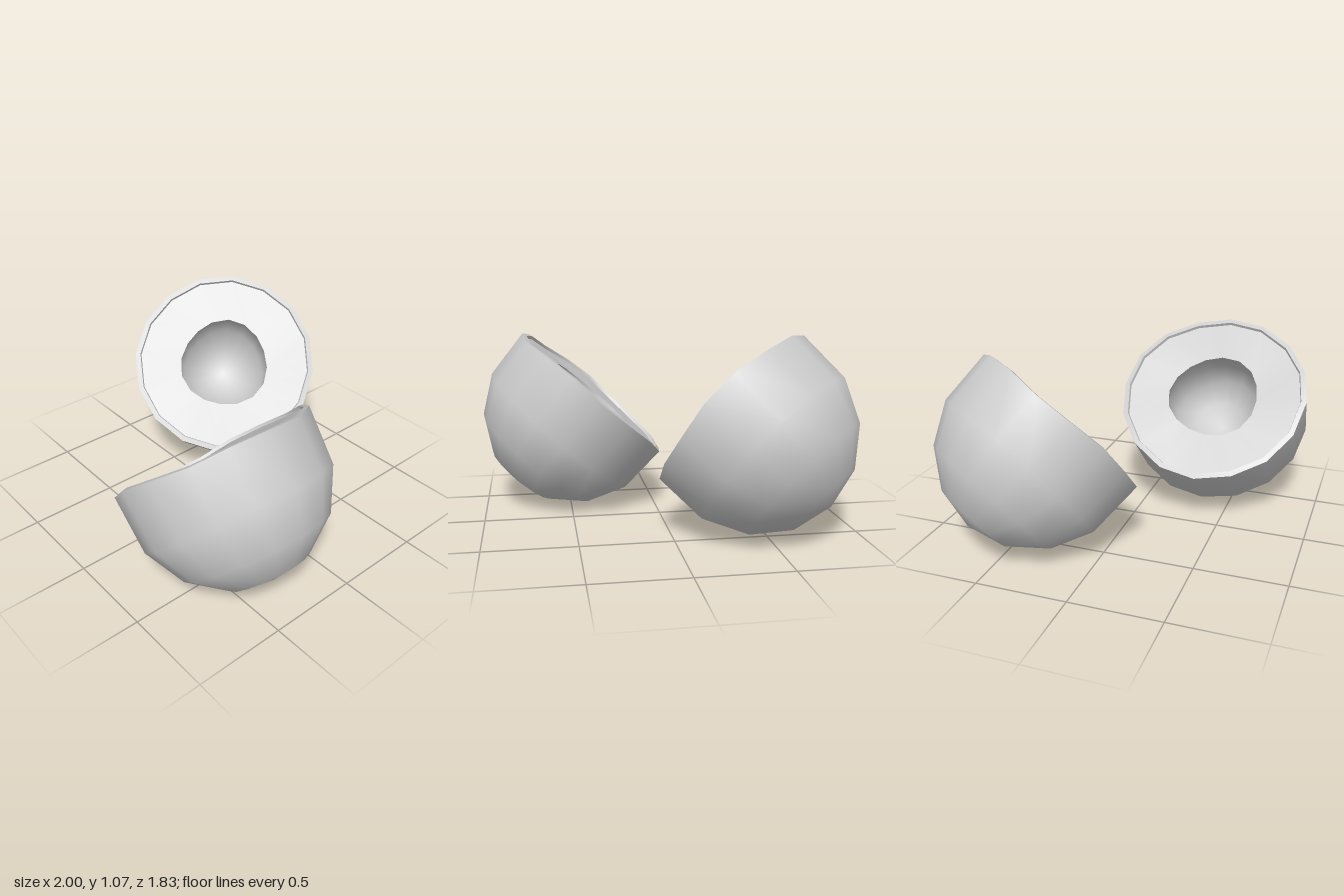
import * as THREE from 'three';
import { mergeVertices } from 'three/addons/utils/BufferGeometryUtils.js';

const SIDES = 16;

// Lathe a profile of [radius, height] points, then roughen it by a rule
function turned(name, profile, sides, wobble) {
  let geo = new THREE.LatheGeometry(profile.map(([r, y]) => new THREE.Vector2(r, y)), sides);
  geo.deleteAttribute('uv');
  geo.deleteAttribute('normal');
  const pos = geo.attributes.position;
  const v = new THREE.Vector3();
  for (let i = 0; i < pos.count; i++) {
    v.fromBufferAttribute(pos, i);
    wobble(v, Math.atan2(v.z, v.x));
    pos.setXYZ(i, v.x, v.y, v.z);
  }
  geo = mergeVertices(geo, 1e-4);
  geo.computeVertexNormals();
  const mat = new THREE.MeshStandardMaterial({ color: 0xcccccc, side: THREE.DoubleSide });
  const mesh = new THREE.Mesh(geo, mat);
  mesh.name = name;
  return mesh;
}

// One hollow half nut, opening towards +y, with its round body centred on the origin
function halfNut(name, phase) {
  const half = new THREE.Group();
  half.name = name;

  // Uneven broken edge: the cut rises and falls around the rim
  const edge = (v, a) => {
    if (v.y > 0.1 && Math.hypot(v.x, v.z) > 0.4) {
      v.y += 0.012 - 0.014 * Math.cos(2 * a) + 0.008 * Math.sin(5 * a + phase);
    }
  };
  // Slightly irregular hollow
  const hollow = (v, a) => {
    const s = 1 + 0.035 * Math.sin(3 * a + phase);
    if (Math.hypot(v.x, v.z) < 0.4) { v.x *= s; v.z *= s; }
    edge(v, a);
  };

  // Outer shell, from the pole up to the cut
  const outer = [[0, 0.555], [24, 0.553], [49, 0.548], [75, 0.548], [106, 0.568]].map(([deg, r]) => {
    const t = THREE.MathUtils.degToRad(deg);
    return [r * Math.sin(t), -r * Math.cos(t)];
  });
  half.add(turned('shell', outer, SIDES, edge));

  // Thin shell lip with a small step down to the flesh
  half.add(turned('shellRim', [outer[4], [0.517, 0.162]], SIDES, edge));
  half.add(turned('rimStep', [[0.517, 0.162], [0.512, 0.145]], SIDES, edge));

  // Cut face of the flesh and the bowl inside it
  half.add(turned('fleshFace', [[0.512, 0.145], [0.265, 0.15]], SIDES, hollow));
  half.add(turned('cavity', [[0.265, 0.15], [0.29, 0.02], [0.255, -0.11], [0.15, -0.21], [0, -0.245]],
    SIDES, hollow));
  return half;
}

export function createModel() {
  const model = new THREE.Group();
  model.name = 'splitNut';
  const up = new THREE.Vector3(0, 1, 0);
  const halves = [
    ['leftHalf', [0.455, 0.55, 0.37], [-0.66, 0.75, 0], 0.4],
    ['rightHalf', [-0.455, 0.55, -0.385], [0.607, 0.63, 0.48], 2.1],
  ];
  for (const [name, position, facing, phase] of halves) {
    const half = halfNut(name, phase);
    half.position.set(...position);
    half.quaternion.setFromUnitVectors(up, new THREE.Vector3(...facing).normalize());
    model.add(half);
  }
  return model;
}
